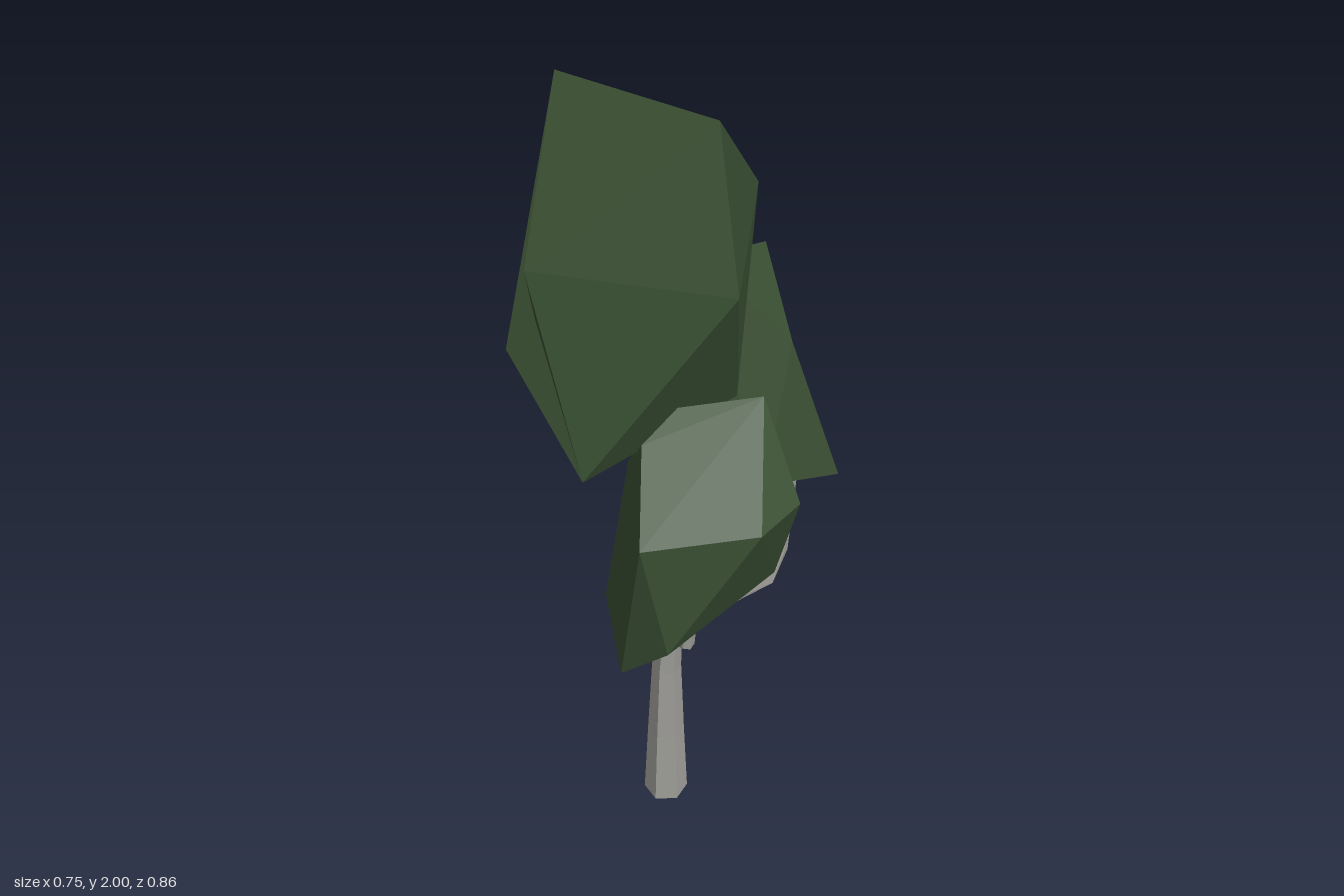
import * as THREE from 'three';
import { ConvexGeometry } from 'three/addons/geometries/ConvexGeometry.js';

// Tapered, bent limb: rings of `sides` points along [x, y, z, radius] stations
function limbGeometry(stations, sides) {
  const pts = stations.map(s => new THREE.Vector3(s[0], s[1], s[2]));
  const pos = [], index = [], last = pts.length - 1;
  pts.forEach((p, i) => {
    const t = pts[Math.min(i + 1, last)].clone().sub(pts[Math.max(i - 1, 0)]).normalize();
    if (i === 0 && p.y === 0) t.set(0, 1, 0);
    const u = t.clone().cross(new THREE.Vector3(0, 0, 1)).normalize();
    const v = u.clone().cross(t);
    for (let j = 0; j < sides; j++) {
      const a = (j + 0.25) / sides * Math.PI * 2;
      const q = p.clone()
        .addScaledVector(u, Math.cos(a) * stations[i][3])
        .addScaledVector(v, Math.sin(a) * stations[i][3]);
      pos.push(q.x, q.y, q.z);
    }
  });
  for (let i = 0; i < last; i++) {
    for (let j = 0; j < sides; j++) {
      const a = i * sides + j, b = i * sides + (j + 1) % sides;
      index.push(a, a + sides, b, b, a + sides, b + sides);
    }
  }
  // end caps as fans
  const top = last * sides;
  for (let j = 1; j < sides - 1; j++) {
    index.push(0, j, j + 1, top, top + j + 1, top + j);
  }
  const g = new THREE.BufferGeometry();
  g.setAttribute('position', new THREE.Float32BufferAttribute(pos, 3));
  g.setIndex(index);
  const flat = g.toNonIndexed();
  flat.computeVertexNormals();
  return flat;
}

export function createModel() {
  const tree = new THREE.Group();
  tree.name = 'tree';

  const leaf = new THREE.MeshStandardMaterial({ color: 0x3a5033, flatShading: true });
  leaf.name = 'leaf green';
  const bark = new THREE.MeshStandardMaterial({ color: 0x9f9e99, flatShading: true });
  bark.name = 'bark grey';

  const add = (name, geometry, material) => {
    const mesh = new THREE.Mesh(geometry, material);
    mesh.name = name;
    tree.add(mesh);
  };

  // Trunk and its branches
  const limbs = {
    trunk: [[-0.03, 0, 0.12, 0.057], [-0.03, 0.22, 0.115, 0.047], [-0.025, 0.45, 0.113, 0.037],
      [-0.015, 0.57, 0.112, 0.032], [-0.01, 0.65, 0.095, 0.028]],
    middleBranch: [[-0.01, 0.6, 0.1, 0.029], [-0.018, 0.7, 0.068, 0.025], [-0.02, 0.95, 0.055, 0.019]],
    backBranch: [[-0.015, 0.59, 0.1, 0.026], [0.045, 0.64, 0.02, 0.024], [0.12, 0.7, -0.1, 0.024],
      [0.135, 0.78, -0.125, 0.02], [0.14, 1.02, -0.15, 0.017]],
    frontBranch: [[-0.015, 0.57, 0.11, 0.026], [0.05, 0.62, 0.15, 0.023], [0.125, 0.68, 0.195, 0.019],
      [0.155, 0.85, 0.195, 0.01]],
    twig: [[0.12, 0.68, 0.19, 0.014], [0.1, 0.74, 0.17, 0.01], [0.09, 0.8, 0.155, 0.006]],
  };
  for (const [name, stations] of Object.entries(limbs)) {
    add(name, limbGeometry(stations, name === 'twig' ? 4 : 6), bark);
  }

  // Faceted leaf masses, each the hull of a few corner points.
  // A mass with `tips` has a groove: one hull per tip, sharing all other corners.
  const leaves = {
    crown: {
      corners: [
        [-0.24, 2, 0.18], [0.16, 2, 0.128],
        [0.25, 1.665, 0.167], [-0.02, 1.69, -0.195], [-0.33, 1.715, -0.045],
        [-0.22, 1.47, -0.19], [0.015, 1.215, 0.395],
        [-0.362, 1.065, 0.13], [-0.14, 1.08, 0.24], [0.1, 1.28, 0], [-0.2, 1.15, -0.08],
      ],
      tips: [[-0.1, 1.695, 0.415], [-0.235, 1.43, 0.37]],
    },
    backLeaves: {
      corners: [
        [-0.105, 1.51, -0.1], [0.15, 1.385, -0.125],
        [0.205, 1.095, 0.02], [-0.21, 0.945, -0.3], [-0.31, 0.92, -0.01], [-0.375, 1.06, -0.22],
        [0, 1.2, 0.03], [0.02, 0.95, -0.02],
      ],
      tips: [[-0.195, 1.38, -0.43], [0.22, 0.995, -0.23]],
    },
    frontLeaves: {
      corners: [
        [0.23, 1.37, 0.06], [0.11, 1.355, 0.2], [0.1, 1.305, 0.3], [0.365, 1.17, 0.09],
        [0.375, 1.165, 0.225], [0.215, 1.155, 0.427], [-0.12, 1.06, 0.13], [0.125, 0.735, 0.41],
        [-0.1, 0.727, 0.24], [0.25, 0.855, 0.385], [0.25, 0.87, 0.03], [-0.06, 0.95, 0.06],
        [0.12, 1.2, 0.01],
      ],
      tips: [],
    },
  };
  const hull = corners => new ConvexGeometry(corners.map(c => new THREE.Vector3(...c)));
  for (const [name, { corners, tips }] of Object.entries(leaves)) {
    if (tips.length === 0) add(name, hull(corners), leaf);
    tips.forEach(tip => add(name, hull([...corners, tip]), leaf));
  }
  return tree;
}
